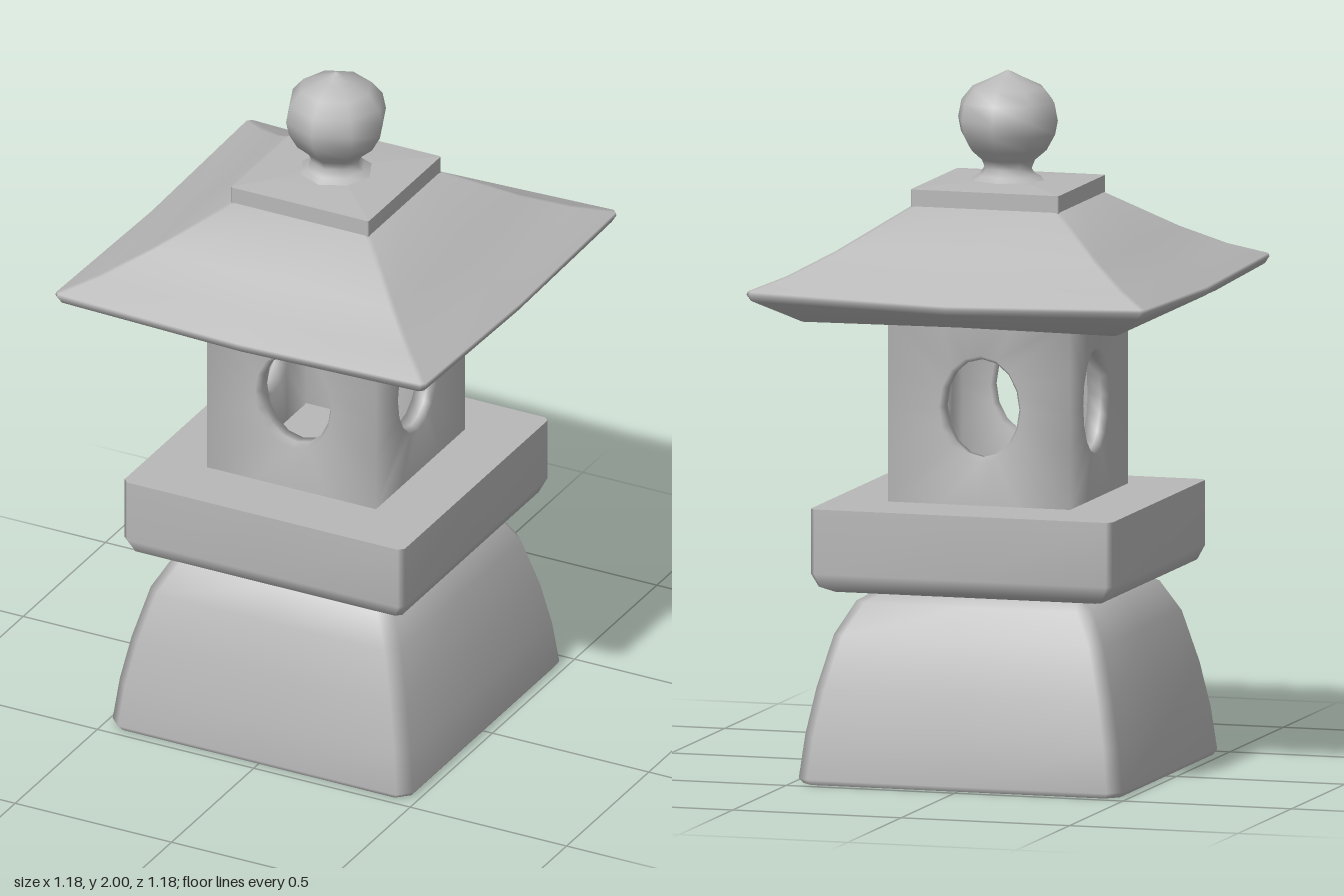
import * as THREE from 'three';
import { mergeVertices, mergeGeometries } from 'three/addons/utils/BufferGeometryUtils.js';

// Smooth surface over equal-length loops of points
function loft(rings) {
  const n = rings[0].length, index = [];
  for (let j = 0; j < rings.length - 1; j++) {
    for (let i = 0; i < n; i++) {
      const a = j * n + i, b = j * n + (i + 1) % n;
      index.push(a, b, b + n, a, b + n, a + n);
    }
  }
  const g = new THREE.BufferGeometry();
  g.setAttribute('position', new THREE.Float32BufferAttribute(rings.flat(2), 3));
  g.setIndex(index);
  g.computeVertexNormals();
  return g;
}

// Square ring with clipped corners; lift raises the corners above the side middles
function squareRing([half, y, lift = 0], clip) {
  const c = Math.min(clip, half), ring = [];
  for (let k = 0; k < 4; k++) {
    for (const s of [-1, 0, 1]) {
      let x = s * (half - c), z = half;
      for (let r = 0; r < k; r++) [x, z] = [z, -x];
      ring.push([x, y + (s ? lift : 0), z]);
    }
  }
  return ring;
}

// Profile of [half width, y, lift], bottom to top; a repeated point makes a hard edge
const squareLoft = (profile, clip) => loft(profile.map(p => squareRing(p, clip)));

// One pierced wall: square border drawn in to an oval, then through to the inner face
function wallGeometry() {
  const N = 16, half = 0.27, cy = 1.06;
  const ring = (fn, z) => Array.from({ length: N }, (_, i) => {
    const t = i / N * Math.PI * 2;
    const [x, y] = fn(Math.cos(t), Math.sin(t));
    return [x, cy + y, z];
  });
  const square = h => (c, s) => {
    const m = Math.max(Math.abs(c), Math.abs(s));
    return [c / m * h, s / m * half];
  };
  const oval = (rx, ry) => (c, s) => [c * rx, s * ry + 0.005];
  return loft([
    ring(square(half), half),
    ring(oval(0.122, 0.152), half - 0.008),
    ring(oval(0.11, 0.14), half - 0.03),
    ring(oval(0.115, 0.145), half - 0.07),
    ring(square(half - 0.07), half - 0.07),
  ]);
}

export function createModel() {
  const model = new THREE.Group();
  model.name = 'stoneLantern';
  const stone = new THREE.MeshStandardMaterial({ color: 0xb8b8b8 });
  stone.name = 'stone';
  const add = (name, geometry) => {
    const mesh = new THREE.Mesh(geometry, stone);
    mesh.name = name;
    model.add(mesh);
  };

  // Bulging foot
  add('base', squareLoft([
    [0, 0], [0.47, 0], [0.47, 0], [0.48, 0.015], [0.465, 0.14], [0.44, 0.27],
    [0.4, 0.42], [0.35, 0.51], [0.28, 0.55], [0, 0.55],
  ], 0.035));

  // Slab with a bevelled underside
  add('platform', squareLoft([
    [0, 0.545], [0.4, 0.545], [0.43, 0.56], [0.448, 0.6], [0.448, 0.785],
    [0.448, 0.785], [0, 0.785],
  ], 0.015));

  // Hollow light chamber with an oval window in each side
  const walls = [0, 1, 2, 3].map(k => wallGeometry().rotateY(k * Math.PI / 2));
  walls.forEach(w => w.deleteAttribute('normal'));
  const chamber = mergeVertices(mergeGeometries(walls), 1e-4);
  chamber.computeVertexNormals();
  add('lightChamber', chamber);

  // Flared roof with slightly raised eave corners
  add('roof', squareLoft([
    [0, 1.33], [0.27, 1.33], [0.47, 1.328, -0.004], [0.582, 1.378, 0.014], [0.592, 1.395, 0.016],
    [0.59, 1.404, 0.016], [0.5, 1.45, 0.006], [0.39, 1.517], [0.22, 1.63], [0, 1.63],
  ], 0.012));

  // Square cap
  add('cap', squareLoft([
    [0.22, 1.625], [0.22, 1.678], [0.22, 1.678], [0.12, 1.687], [0, 1.69],
  ], 0.004));

  // Eight-sided pointed finial
  const profile = [
    [0.12, 1.68], [0.085, 1.7], [0.07, 1.72], [0.08, 1.745], [0.115, 1.775], [0.14, 1.82],
    [0.148, 1.86], [0.138, 1.91], [0.105, 1.95], [0.05, 1.975], [0.02, 1.99], [0, 2],
  ].map(([r, y]) => new THREE.Vector2(r, y));
  add('finial', new THREE.LatheGeometry(profile, 8));

  return model;
}
